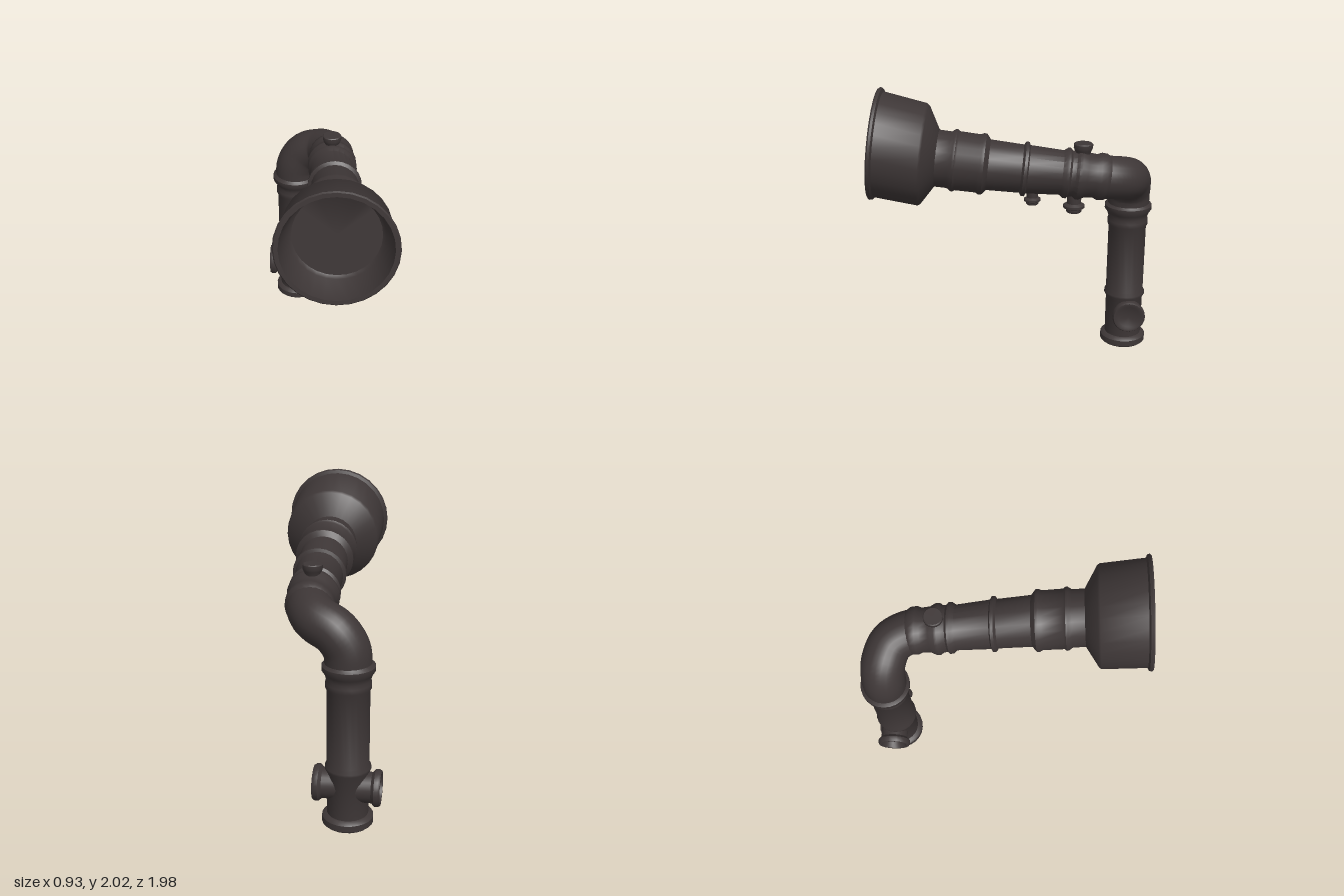
import * as THREE from 'three';
import { toCreasedNormals } from 'three/addons/utils/BufferGeometryUtils.js';

const iron = new THREE.MeshStandardMaterial({ color: 0x3d3636 });
iron.name = 'dark iron';

// Profiles are [radius, height along the axis]
const lathe = (profile, sides = 24) =>
  new THREE.LatheGeometry(profile.map(([r, h]) => new THREE.Vector2(r, h)), sides);

function part(name, geometry, crease = 0.75) {
  const mesh = new THREE.Mesh(toCreasedNormals(geometry, crease), iron);
  mesh.name = name;
  return mesh;
}

// Linear lookup in a table of [key, value]
function lookup(table, k) {
  let i = 1;
  while (i < table.length - 1 && k > table[i][0]) i++;
  const [a, va] = table[i - 1], [b, vb] = table[i];
  return va + (vb - va) * (k - a) / (b - a);
}

export function createModel() {
  const model = new THREE.Group();
  model.name = 'pipeHorn';

  // Upright pipe with foot flange and collars
  const post = part('post', lathe([
    [0, 0], [0.155, 0], [0.168, 0.012], [0.168, 0.055], [0.155, 0.068], [0.135, 0.075],
    [0.136, 0.37], [0.15, 0.395], [0.15, 0.41], [0.138, 0.435], [0.137, 0.935],
    [0.147, 0.955], [0.147, 0.985], [0.14, 1.01], [0.152, 1.045], [0.17, 1.07],
    [0.17, 1.1], [0.152, 1.115], [0.14, 1.13]]));
  post.position.set(-0.25, 0, -0.81);
  model.add(post);

  // Flanged side outlets with dished ends
  for (const [name, sign, y] of [['leftOutlet', 1, 0.28], ['rightOutlet', -1, 0.27]]) {
    const depth = sign > 0 ? 0.008 : 0.05;
    const outlet = part(name, lathe([
      [0.1, 0], [0.1, 0.16], [0.12, 0.18], [0.12, 0.205], [0.112, 0.218],
      [0.095, 0.218], [0.08, 0.218 - depth], [0, 0.218 - depth]]));
    outlet.rotation.z = -sign * Math.PI / 2;
    outlet.position.set(-0.25, y, -0.83);
    model.add(outlet);
  }

  // Elbow rising from the post and turning forward
  const bend = new THREE.CatmullRomCurve3([
    [-0.25, 1.08, -0.81], [-0.237, 1.2, -0.81], [-0.165, 1.305, -0.802],
    [-0.045, 1.36, -0.75], [0.012, 1.383, -0.66], [0.035, 1.395, -0.57],
  ].map(p => new THREE.Vector3(...p)));
  model.add(part('elbow', new THREE.TubeGeometry(bend, 24, 0.15, 24), 1));

  // Barrel and bell follow a gently rising centre line with tilted rings
  const centreX = [[-0.62, 0.032], [-0.4, 0.04], [0.1, 0.074], [0.5, 0.085], [1, 0.085]];
  const centreY = [[-0.62, 1.392], [0, 1.465], [0.56, 1.542], [0.64, 1.565], [0.98, 1.645]];
  function alongBarrel(profile, sides) {
    const g = lathe(profile, sides).rotateX(Math.PI / 2);
    const p = g.attributes.position;
    for (let i = 0; i < p.count; i++) {
      const x = p.getX(i), y = p.getY(i), s = p.getZ(i);
      p.setXYZ(i, x + lookup(centreX, s), y + lookup(centreY, s), s - 0.11 * y);
    }
    return g;
  }
  model.add(part('barrel', alongBarrel([
    [0.14, -0.64], [0.16, -0.61], [0.163, -0.57], [0.15, -0.54], [0.155, -0.48],
    [0.175, -0.44], [0.175, -0.42], [0.158, -0.4], [0.158, -0.37], [0.174, -0.355],
    [0.172, -0.335], [0.153, -0.31], [0.165, -0.08], [0.186, -0.07], [0.186, -0.05],
    [0.165, -0.035], [0.172, 0.19], [0.208, 0.22], [0.208, 0.24], [0.198, 0.26],
    [0.2, 0.4], [0.212, 0.415], [0.21, 0.43], [0.192, 0.455], [0.193, 0.56]], 24)));
  model.add(part('bell', alongBarrel([
    [0.17, 0.53], [0.195, 0.54], [0.335, 0.62], [0.346, 0.635], [0.356, 0.925], [0.376, 0.935],
    [0.38, 0.95], [0.372, 0.96], [0.345, 0.96], [0.3, 0.74], [0.28, 0.72], [0, 0.72]], 28)));

  // Small fittings on the barrel
  const cap = part('topCap', lathe([
    [0.04, 0], [0.04, 0.13], [0.06, 0.17], [0.066, 0.185], [0.066, 0.21], [0.06, 0.216], [0, 0.216]], 16));
  cap.position.set(0.038, 1.42, -0.455);
  model.add(cap);
  for (const [name, x, top, z, bottom, k] of [
    ['rearDrain', 0.036, 1.42, -0.4, 1.14, 1], ['frontDrain', 0.062, 1.45, -0.11, 1.205, 0.78]]) {
    const drain = part(name, lathe([
      [0, 0], [0.05, 0], [0.055, 0.008], [0.055, 0.024], [0.075, 0.035], [0.075, 0.052],
      [0.05, 0.066], [0.05, (top - bottom) / k]].map(([r, h]) => [r * k, h * k]), 16));
    drain.position.set(x, bottom, z);
    model.add(drain);
  }
  return model;
}
